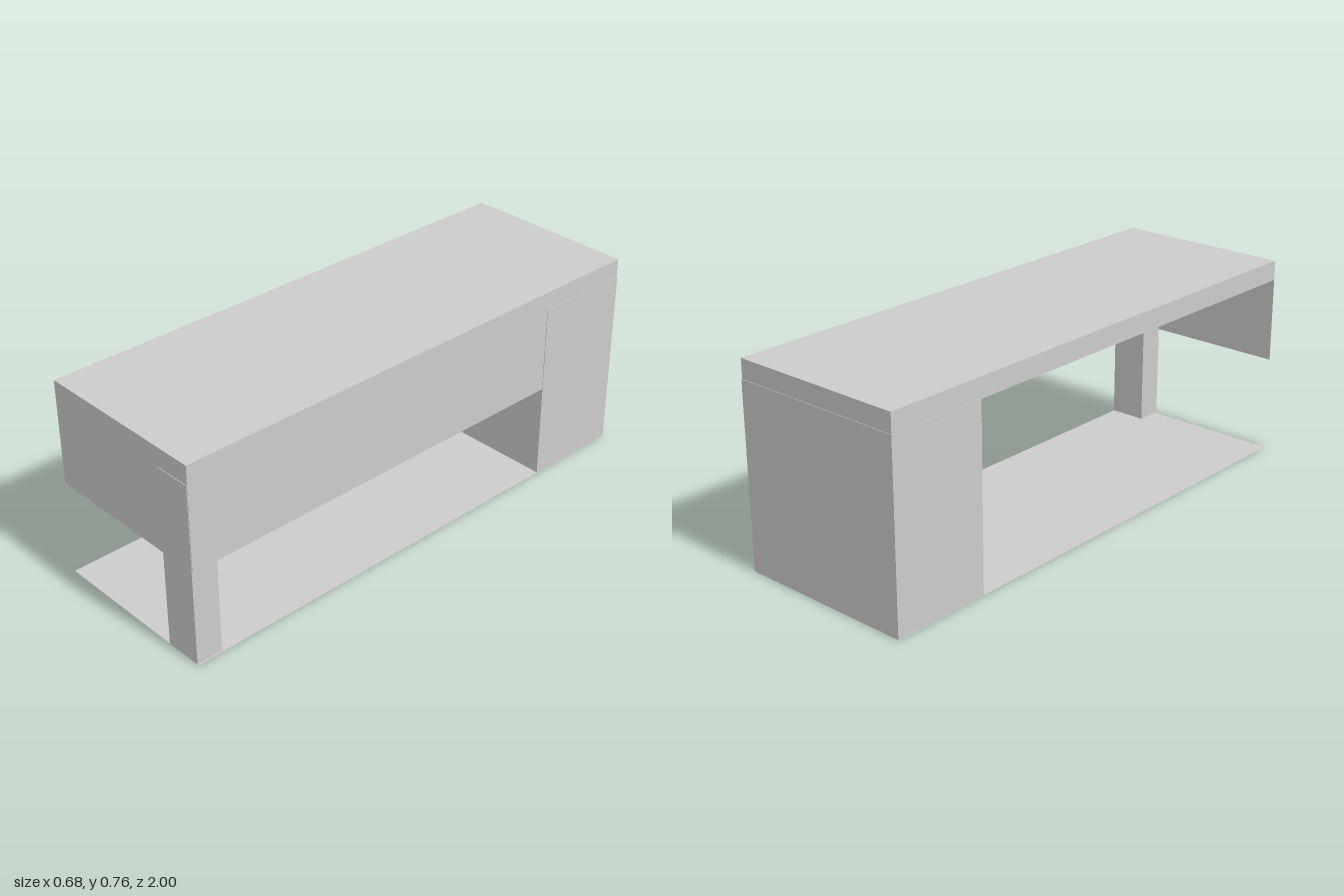
import * as THREE from 'three';

const W = 0.68, L = 1.996, H = 0.76; // shell width, length and height
const EAVE = 0.365;                  // lower edge of the front and side panels
const BAND = 0.685;                  // lower edge of the fascia, top of the blocks

export function createModel() {
  const group = new THREE.Group();
  const material = new THREE.MeshStandardMaterial({
    color: 0xcccccc, flatShading: true, side: THREE.DoubleSide,
  });

  const add = (name, geometry, x, y, z) => {
    const mesh = new THREE.Mesh(geometry, material);
    mesh.name = name;
    mesh.position.set(x, y, z);
    group.add(mesh);
    return mesh;
  };

  // Thin sheets, lying flat or standing between two heights
  const flat = (name, y) => add(name, new THREE.PlaneGeometry(W, L).rotateX(-Math.PI / 2), 0, y, 0);
  const endPanel = (name, side, y0, y1) => add(name,
    new THREE.PlaneGeometry(W, y1 - y0).rotateY(side > 0 ? 0 : Math.PI), 0, (y0 + y1) / 2, side * L / 2);
  const sidePanel = (name, side, y0, y1) => add(name,
    new THREE.PlaneGeometry(L, y1 - y0).rotateY(side * Math.PI / 2), side * W / 2, (y0 + y1) / 2, 0);

  // Solid block between two corners
  const block = (name, [x0, y0, z0], [x1, y1, z1]) => add(name,
    new THREE.BoxGeometry(x1 - x0, y1 - y0, z1 - z0), (x0 + x1) / 2, (y0 + y1) / 2, (z0 + z1) / 2);

  // Open shell: ground, roof and the panels hanging from it
  flat('floor', 0);
  flat('roof', H);
  endPanel('frontPanel', 1, EAVE, H);
  endPanel('backWall', -1, 0, H);
  sidePanel('leftPanel', 1, EAVE, H);
  sidePanel('rightFascia', -1, BAND, H);

  // Supports, standing very slightly proud of the shell
  block('rearBlock', [-0.342, 0.003, -1], [0.342, BAND + 0.003, -0.615]);
  block('cornerPost', [0.195, 0.003, 0.9], [0.338, BAND + 0.003, 1]);

  return group;
}
